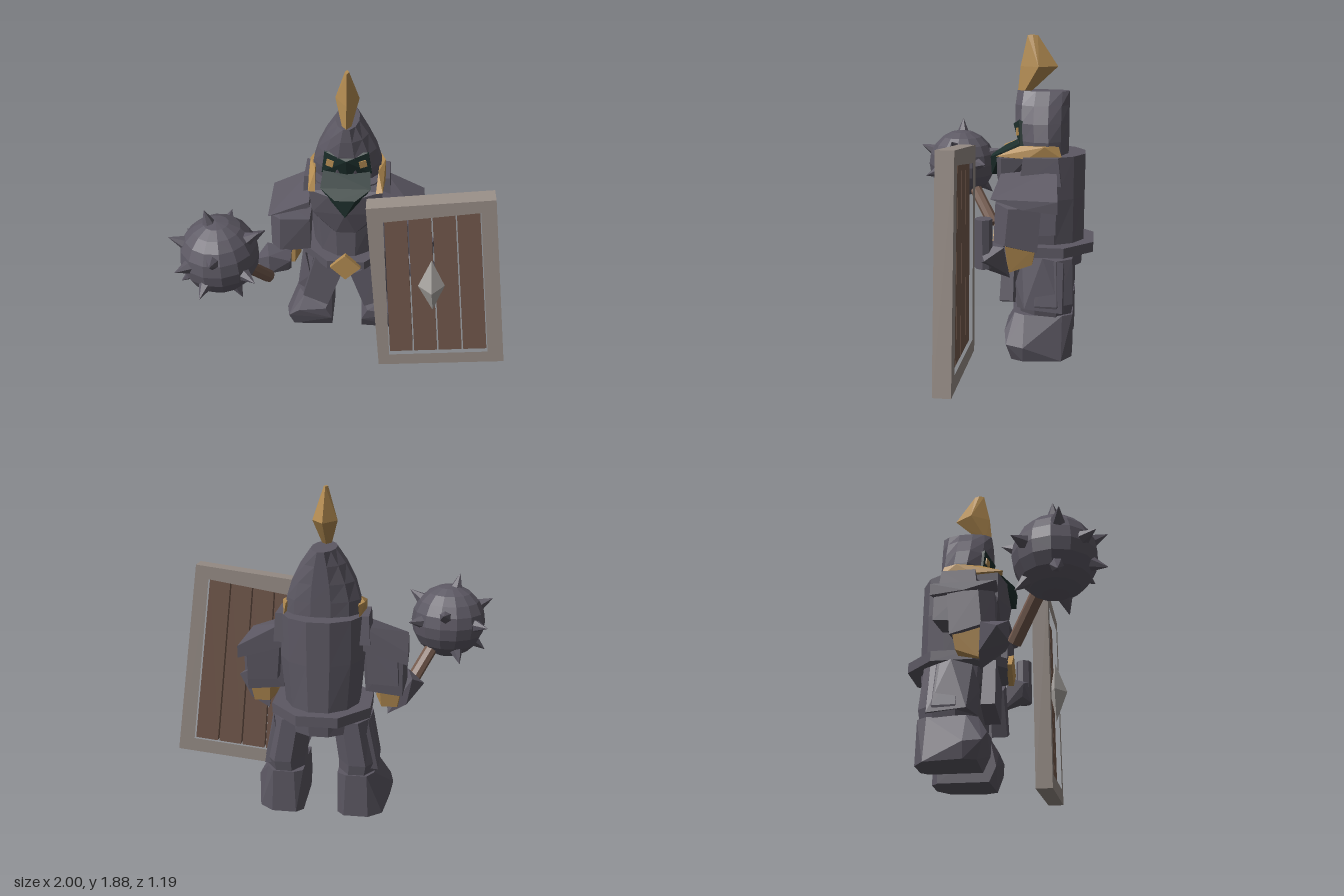
import * as THREE from 'three';
import { ConvexGeometry } from 'three/addons/geometries/ConvexGeometry.js';

const V = (x, y, z) => new THREE.Vector3(x, y, z);
const CX = -0.03; // middle of the body

export function createModel() {
  const model = new THREE.Group();
  const material = (name, color) => {
    const m = new THREE.MeshStandardMaterial({ color, flatShading: true });
    m.name = name;
    return m;
  };
  const steel = material('dark steel', 0x5c5863);
  const gold = material('gold', 0xb38c52);
  const cloth = material('dark green', 0x1e302d);
  const wood = material('brown wood', 0x745a4d);
  const frame = material('grey frame', 0x988e87);
  const silver = material('light metal', 0xaaa6a2);

  const add = (name, geometry, mat, parent = model) => {
    const mesh = new THREE.Mesh(geometry, mat);
    mesh.name = name;
    parent.add(mesh);
    return mesh;
  };
  // Convex block through a few corner points
  const hull = (name, pts, mat, parent) =>
    add(name, new ConvexGeometry(pts.map((p) => V(...p))), mat, parent);
  // Points given for +x, repeated on -x
  const both = (pts) => pts.flatMap(([x, y, z]) => (x ? [[x, y, z], [-x, y, z]] : [[x, y, z]]));
  // Stacked ellipses: [y, centre x, half width, front z, back z]
  const loft = (name, rows, n, mat, parent) => {
    const pos = [], idx = [];
    rows.forEach(([y, cx, rx, zf, zb]) => {
      for (let i = 0; i < n; i++) {
        const a = ((i + 0.5) / n) * Math.PI * 2;
        const k = 1 / Math.cos(Math.PI / n);
        pos.push(cx + Math.sin(a) * rx * k, y, (zf + zb) / 2 + (Math.cos(a) * (zf - zb) * k) / 2);
      }
    });
    const last = (rows.length - 1) * n;
    for (let r = 0; r < rows.length - 1; r++) {
      for (let i = 0; i < n; i++) {
        const a = r * n + i, b = r * n + ((i + 1) % n);
        idx.push(a, b, b + n, a, b + n, a + n);
      }
    }
    for (let i = 1; i < n - 1; i++) idx.push(0, i + 1, i, last, last + i, last + i + 1);
    const g = new THREE.BufferGeometry();
    g.setAttribute('position', new THREE.Float32BufferAttribute(pos, 3));
    g.setIndex(idx);
    g.computeVertexNormals();
    return add(name, g, mat, parent);
  };
  // Cylinder or cone between two points
  const rod = (name, a, b, r0, r1, n, mat, parent) => {
    const d = b.clone().sub(a);
    const mesh = add(name, new THREE.CylinderGeometry(r1, r0, d.length(), n), mat, parent);
    mesh.position.copy(a).addScaledVector(d, 0.5);
    mesh.quaternion.setFromUnitVectors(V(0, 1, 0), d.normalize());
    return mesh;
  };

  const body = new THREE.Group();
  body.name = 'body';
  body.position.x = CX;
  model.add(body);

  // Torso, chest and belt
  loft('torso', [[0.53, 0, 0.2, -0.12, -0.52], [0.68, 0, 0.21, -0.07, -0.53],
    [0.95, 0, 0.235, -0.07, -0.53], [1.2, 0, 0.235, -0.06, -0.53]], 12, steel, body);
  hull('chestPlate', both([[0.22, 1.19, -0.05], [0.1, 1.17, -0.01], [0.2, 1.03, -0.05],
    [0.06, 0.88, -0.05], [0.12, 0.88, -0.12], [0.21, 1.19, -0.2], [0, 1.05, 0.0]]), steel, body);
  loft('belt', [[0.62, 0, 0.28, -0.01, -0.59], [0.68, 0, 0.28, -0.01, -0.59]], 8, steel, body);
  const buckle = add('buckle', new THREE.BoxGeometry(0.135, 0.135, 0.03), gold, body);
  buckle.position.set(0, 0.65, 0);
  buckle.rotation.z = Math.PI / 4;

  // Helmet
  loft('helmet', [[1.18, 0, 0.21, -0.15, -0.43], [1.28, 0, 0.205, -0.13, -0.43],
    [1.38, 0, 0.175, -0.115, -0.43], [1.48, 0, 0.125, -0.115, -0.43],
    [1.56, 0, 0.07, -0.125, -0.43]], 12, steel, body);
  // Face cover
  hull('faceMask', both([[0.13, 1.4, -0.145], [0, 1.36, -0.1], [0.15, 1.25, -0.155],
    [0, 1.25, -0.13], [0.13, 1.38, -0.2], [0.15, 1.25, -0.2]]), cloth, body);
  hull('chinCover', both([[0.14, 1.27, -0.16], [0.15, 1.21, -0.04], [0.06, 1.17, 0.03],
    [0, 1.05, 0.03], [0, 1.06, -0.1], [0.14, 1.19, -0.2]]), cloth, body);
  // Plume, a tapering diamond
  const plumeRows = [[1.55, 0.025, -0.125, -0.2], [1.7, 0.07, -0.14, -0.36], [1.88, 0.012, -0.18, -0.24]];
  hull('plume', plumeRows.flatMap(([y, w, f, b]) =>
    [[0, y, f], [0, y, b], [w, y, (f + b) / 2], [-w, y, (f + b) / 2]]), gold, body);

  // Paired parts
  for (const s of [-1, 1]) {
    const side = s > 0 ? 'left' : 'right';
    const block = (name, pts, mat) =>
      hull(side + name, pts.map(([x, y, z]) => [x * s, y, z]), mat, body);

    const eye = add(side + 'Eye', new THREE.BoxGeometry(0.045, 0.045, 0.008), gold, body);
    eye.position.set(s * 0.098, 1.328, -0.133);
    eye.rotation.set(0, s * 0.3, s * 0.2);

    block('Collar', [[0.2, 1.26, -0.38], [0.23, 1.26, -0.3], [0.19, 1.26, -0.16], [0.22, 1.2, -0.02],
      [0.18, 1.19, -0.03], [0.235, 1.19, -0.2], [0.21, 1.19, -0.4]], gold);

    // Shoulder, sloping guard and arm
    block('Shoulder', [[0.18, 1.2, -0.18], [0.26, 1.2, -0.18], [0.18, 1.2, -0.38], [0.26, 1.2, -0.38],
      [0.27, 1.04, -0.16], [0.27, 1.04, -0.4], [0.18, 1.04, -0.16], [0.18, 1.04, -0.4]], steel);
    block('ShoulderGuard', [[0.22, 1.1, -0.05], [0.22, 1.06, -0.05], [0.47, 1.005, -0.02],
      [0.48, 1.0, -0.39], [0.48, 0.93, -0.39], [0.48, 0.95, -0.2], [0.22, 1.14, -0.37],
      [0.22, 1.0, -0.37]], steel);
    block('UpperArm', [[0.24, 1.05, -0.18], [0.24, 1.05, -0.36], [0.42, 1.0, -0.18], [0.42, 1.0, -0.38],
      [0.26, 0.78, -0.12], [0.26, 0.8, -0.36], [0.43, 0.78, -0.12], [0.43, 0.8, -0.38]], steel);
    block('Forearm', [[0.22, 0.97, -0.05], [0.4, 0.97, -0.04], [0.47, 0.95, -0.12], [0.22, 0.74, -0.06],
      [0.41, 0.73, -0.03], [0.47, 0.74, -0.1], [0.22, 0.96, -0.28], [0.45, 0.96, -0.3],
      [0.24, 0.72, -0.27], [0.45, 0.7, -0.28]], steel);
    block('Wrist', [[0.32, 0.73, -0.1], [0.45, 0.73, -0.1], [0.32, 0.73, -0.27], [0.44, 0.73, -0.27],
      [0.29, 0.65, -0.14], [0.33, 0.59, -0.1], [0.42, 0.57, -0.12], [0.33, 0.62, -0.25],
      [0.42, 0.62, -0.25]], gold);
    block('Hand', [[0.34, 0.74, -0.06], [0.34, 0.7, 0.03], [0.47, 0.75, 0.05], [0.5, 0.74, -0.1],
      [0.57, 0.68, 0.0], [0.47, 0.62, 0.06], [0.36, 0.52, -0.12], [0.36, 0.62, 0.02],
      [0.47, 0.58, -0.11]], steel);

    // Hip plate, leg and boot
    block('HipPlate', [[0.2, 0.64, -0.06], [0.03, 0.54, -0.05], [0.12, 0.285, -0.04], [0.28, 0.35, -0.05],
      [0.2, 0.64, -0.13], [0.03, 0.54, -0.13], [0.12, 0.285, -0.13], [0.28, 0.35, -0.13]], steel);
    loft(side + 'Leg', [[0.2, s * 0.2, 0.1, -0.18, -0.46], [0.34, s * 0.215, 0.115, -0.17, -0.48],
      [0.6, s * 0.17, 0.11, -0.16, -0.47]], 8, steel, body);
    block('LegGuard', [[0.27, 0.59, -0.18], [0.27, 0.59, -0.42], [0.29, 0.62, -0.3], [0.33, 0.32, -0.2],
      [0.33, 0.3, -0.42], [0.24, 0.3, -0.15], [0.24, 0.45, -0.14], [0.24, 0.32, -0.45]], steel);
    block('Boot', [[0.1, 0.28, -0.14], [0.28, 0.28, -0.14], [0.32, 0.28, -0.2], [0.1, 0.28, -0.45],
      [0.15, 0.28, -0.48], [0.27, 0.28, -0.48], [0.31, 0.28, -0.42], [0.1, 0.11, -0.1],
      [0.14, 0.2, -0.09], [0.32, 0.18, -0.085], [0.39, 0.12, -0.1], [0.41, 0.11, -0.2],
      [0.1, 0.02, -0.14], [0.36, 0.02, -0.13], [0.39, 0.02, -0.2], [0.36, 0.02, -0.42],
      [0.28, 0.02, -0.48], [0.14, 0.02, -0.48], [0.1, 0.02, -0.44]], steel);
  }

  // Spiked mace
  const mace = new THREE.Group();
  mace.name = 'mace';
  model.add(mace);
  const c = V(-0.73, 0.985, 0.325);
  add('maceBall', new THREE.SphereGeometry(0.228, 14, 10), steel, mace).position.copy(c);
  const spikes = [[-0.2, 1, 0], [0.8, 0.6, 0.1], [-0.87, 0.45, 0.15], [-0.8, -0.65, 0.1], [0.4, -0.9, 0.2],
    [0.02, 0.4, 0.9], [-0.25, -0.38, 0.9], [0.75, -0.15, 0.65], [0.1, 0.35, -0.93], [-0.75, 0.05, -0.65],
    [0.75, 0.1, -0.6], [-0.25, -0.7, -0.65], [-0.7, 0.1, 0.75]];
  spikes.forEach((d) => {
    const dir = V(...d).normalize();
    rod('maceSpike', c.clone().addScaledVector(dir, 0.2), c.clone().addScaledVector(dir, 0.305),
      0.046, 0.002, 6, steel, mace);
  });
  rod('maceHandle', c, V(-0.5, 0.615, 0.08), 0.04, 0.04, 8, wood, mace);

  // Shield: tilted frame around four planks
  const shield = new THREE.Group();
  shield.name = 'shield';
  model.add(shield);
  const slab = (name, pts, holePts, z, depth, mat) => {
    const shape = new THREE.Shape(pts.map((p) => new THREE.Vector2(...p)));
    if (holePts) shape.holes.push(new THREE.Path(holePts.map((p) => new THREE.Vector2(...p))));
    const g = new THREE.ExtrudeGeometry(shape, { depth, bevelEnabled: false });
    g.translate(0, 0, z);
    add(name, g, mat, shield);
  };
  const inner = [[0.2, 1.16], [0.745, 1.25], [0.89, 0.165], [0.265, 0.1]];
  slab('shieldFrame', [[0.1, 1.25], [0.82, 1.34], [1.0, 0.085], [0.2, 0.005]], inner, 0.11, 0.1, frame);
  const mix = (a, b, t) => [a[0] + (b[0] - a[0]) * t, a[1] + (b[1] - a[1]) * t];
  for (let i = 0; i < 4; i++) {
    const t0 = i / 4 + 0.008, t1 = (i + 1) / 4 - 0.008;
    slab('shieldPlank', [mix(inner[0], inner[1], t0), mix(inner[0], inner[1], t1),
      mix(inner[3], inner[2], t1), mix(inner[3], inner[2], t0)], null, 0.13, 0.05, wood);
  }
  hull('shieldBoss', [[0.49, 0.9, 0.215], [0.58, 0.71, 0.215], [0.52, 0.51, 0.215], [0.42, 0.7, 0.215],
    [0.5, 0.7, 0.29], [0.5, 0.7, 0.18]], silver, shield);
  // Grip held by the left hand
  rod('shieldGrip', V(0.46, 0.62, 0.015), V(0.46, 0.9, 0.015), 0.05, 0.05, 8, steel, shield);

  return model;
}
